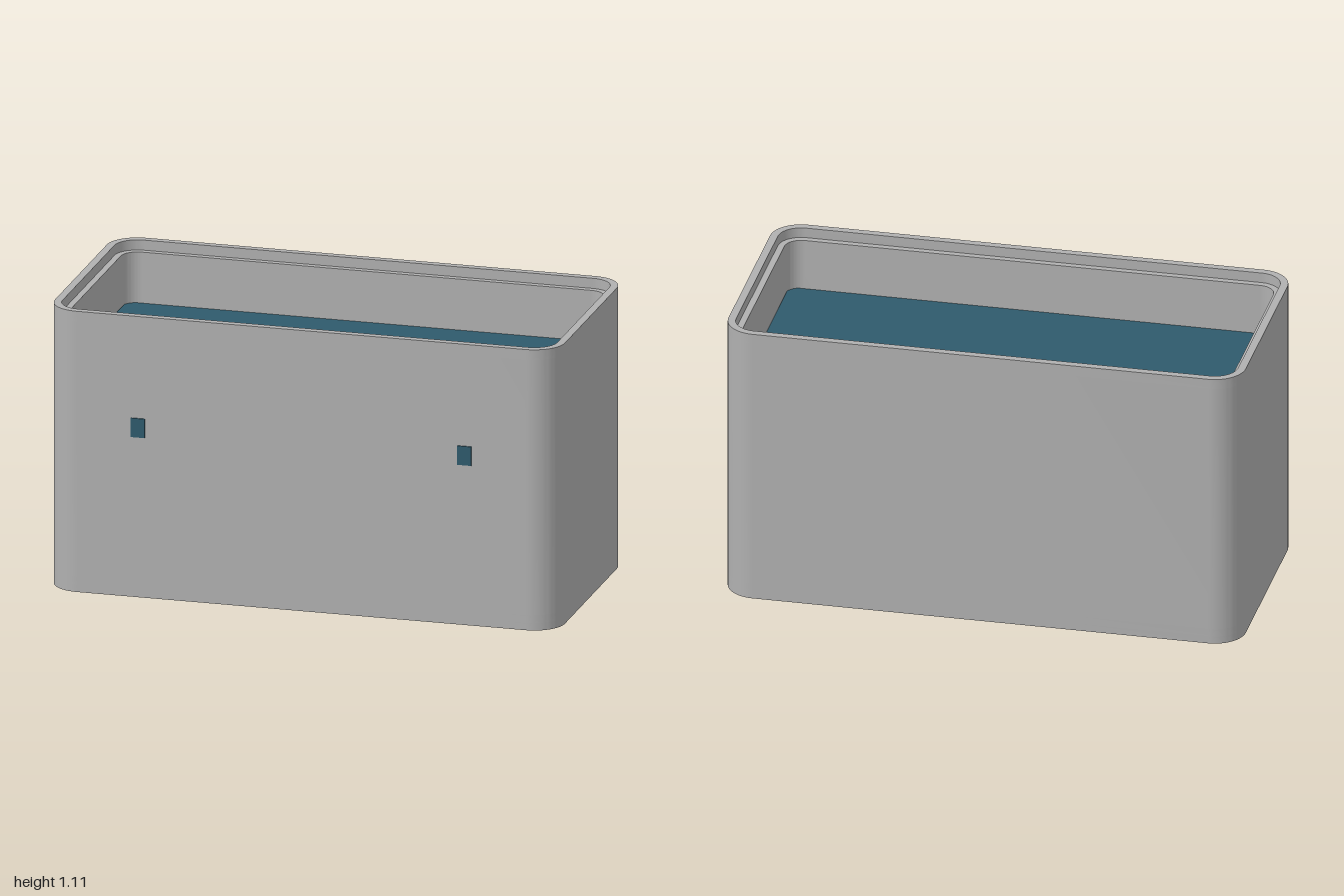
import * as THREE from 'three';
import { toCreasedNormals } from 'three/addons/utils/BufferGeometryUtils.js';

const HALF_X = 1, HALF_Z = 0.48, RADIUS = 0.12;

// Rounded rectangle, inset from the outer outline
function outline(inset, target) {
  const x = HALF_X - inset, y = HALF_Z - inset, r = RADIUS - inset;
  target.moveTo(-x + r, -y);
  target.lineTo(x - r, -y);
  target.absarc(x - r, -y + r, r, -Math.PI / 2, 0, false);
  target.lineTo(x, y - r);
  target.absarc(x - r, y - r, r, 0, Math.PI / 2, false);
  target.lineTo(-x + r, y);
  target.absarc(-x + r, y - r, r, Math.PI / 2, Math.PI, false);
  target.lineTo(-x, -y + r);
  target.absarc(-x + r, -y + r, r, Math.PI, Math.PI * 1.5, false);
  return target;
}

// Upright slab or hollow ring between two heights
function slab(name, material, y0, y1, inset, holeInset) {
  const shape = outline(inset, new THREE.Shape());
  if (holeInset !== undefined) shape.holes.push(outline(holeInset, new THREE.Path()));
  let geometry = new THREE.ExtrudeGeometry(shape, { depth: y1 - y0, bevelEnabled: false, curveSegments: 10 });
  geometry.rotateX(-Math.PI / 2);
  geometry = toCreasedNormals(geometry, Math.PI / 6);
  const mesh = new THREE.Mesh(geometry, material);
  mesh.name = name;
  mesh.position.y = y0;
  return mesh;
}

export function createModel() {
  const grey = new THREE.MeshStandardMaterial({ color: 0xb0b0b0 });
  grey.name = 'shell grey';
  const blue = new THREE.MeshStandardMaterial({ color: 0x2f5a6c });
  blue.name = 'panel blue';

  const model = new THREE.Group();
  model.name = 'openBin';

  // Shell: recessed foot, walls, stepped lip
  model.add(slab('footRing', grey, 0, 0.03, 0, 0.035));
  model.add(slab('floor', grey, 0.03, 0.06, 0));
  model.add(slab('walls', grey, 0.06, 1.07, 0, 0.055));
  model.add(slab('rimLip', grey, 1.07, 1.11, 0, 0.03));

  // Surface filling the inside
  const panel = new THREE.Mesh(new THREE.BoxGeometry(1.88, 0.02, 0.84), blue);
  panel.name = 'innerPanel';
  panel.position.y = 0.86;
  model.add(panel);

  // Small tabs on the front
  for (const side of [-1, 1]) {
    const tab = new THREE.Mesh(new THREE.BoxGeometry(0.055, 0.075, 0.008), blue);
    tab.name = side > 0 ? 'leftTab' : 'rightTab';
    tab.position.set(side * 0.64, 0.67, HALF_Z + 0.001);
    model.add(tab);
  }

  // Centre the depth, tabs included
  for (const part of model.children) part.position.z -= 0.0025;
  return model;
}
